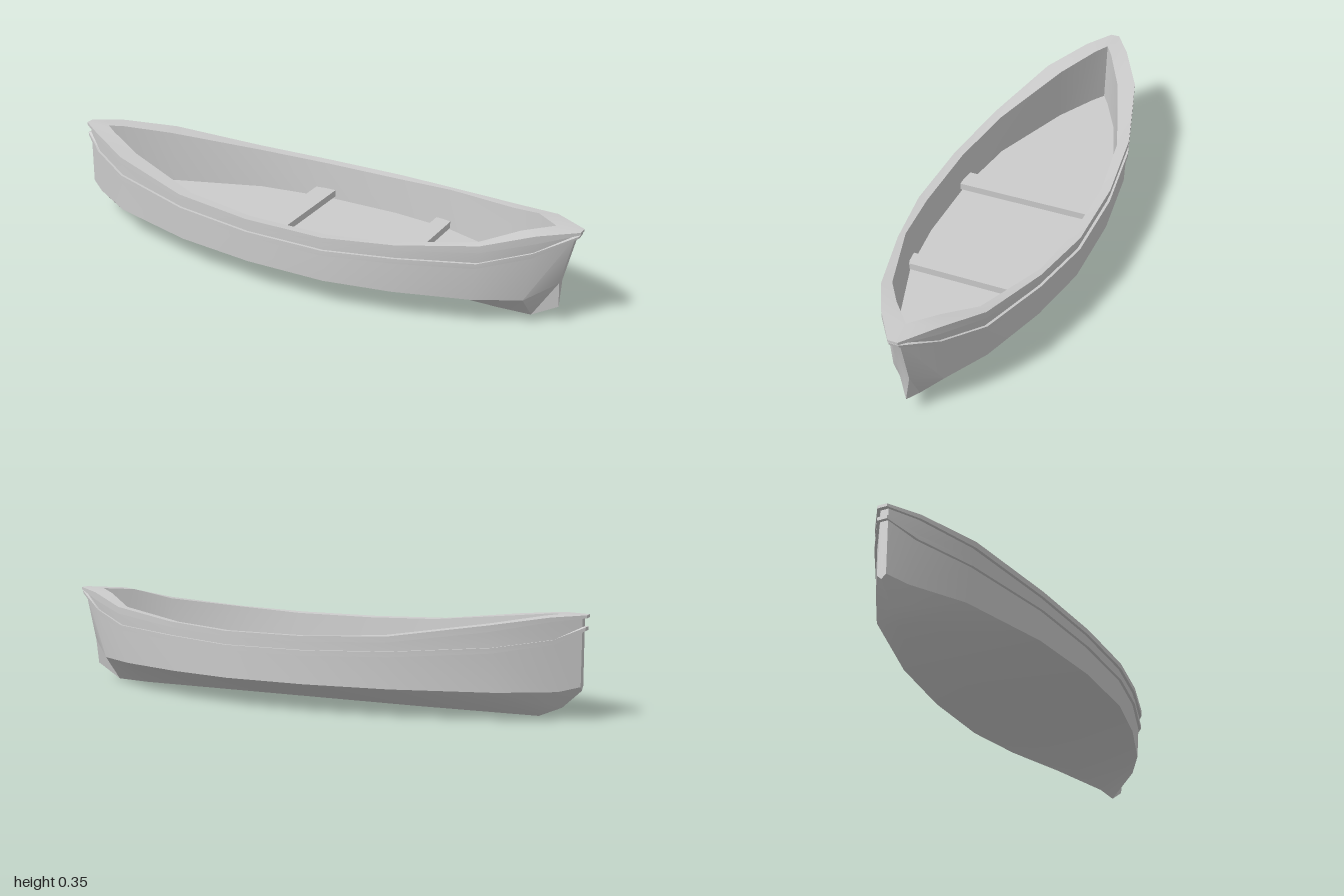
import * as THREE from 'three';
import { toCreasedNormals } from 'three/addons/utils/BufferGeometryUtils.js';

const FLOOR = 0.13;

// Cross-section stations from stern (-x) to bow (+x).
// rail: [x, y, halfWidth], inner: [x, halfWidth] of the opening,
// ys: [rail underside, strake top, strake bottom], chine: [x, y, halfWidth], keel: [x, y]
const stations = [
  { rail: [-1, 0.355, 0.017], inner: [-0.91, 0], ys: [0.345, 0.315, 0.303], chine: [-0.985, 0.115, 0.016], keel: [-0.985, 0.1], end: -1, hullX: -0.985 },
  { rail: [-0.9, 0.35, 0.085], inner: [-0.86, 0.033], ys: [0.335, 0.275, 0.26], chine: [-0.92, 0.1, 0.058], keel: [-0.92, 0.038] },
  { rail: [-0.72, 0.325, 0.182], inner: [-0.7, 0.117], ys: [0.303, 0.25, 0.232], chine: [-0.74, 0.1, 0.162], keel: [-0.84, 0.003] },
  { rail: [-0.4, 0.28, 0.27], inner: [-0.37, 0.235], ys: [0.26, 0.228, 0.21], chine: [-0.4, 0.1, 0.258], keel: [-0.4, 0] },
  { rail: [-0.1, 0.267, 0.305], inner: [-0.1, 0.272], ys: [0.247, 0.218, 0.2], chine: [-0.1, 0.1, 0.295], keel: [-0.1, 0] },
  { rail: [0.2, 0.267, 0.305], inner: [0.2, 0.272], ys: [0.247, 0.218, 0.2], chine: [0.2, 0.1, 0.295], keel: [0.2, 0] },
  { rail: [0.45, 0.281, 0.262], inner: [0.42, 0.247], ys: [0.261, 0.23, 0.212], chine: [0.44, 0.1, 0.25], keel: [0.45, 0] },
  { rail: [0.72, 0.31, 0.185], inner: [0.7, 0.155], ys: [0.285, 0.242, 0.224], chine: [0.69, 0.1, 0.172], keel: [0.72, 0] },
  { rail: [0.88, 0.348, 0.1], inner: [0.82, 0.077], ys: [0.32, 0.283, 0.265], chine: [0.845, 0.1, 0.09], keel: [0.845, 0.004] },
  { rail: [1, 0.355, 0.017], inner: [0.91, 0], ys: [0.346, 0.341, 0.332], chine: [0.94, 0.155, 0.016], keel: [0.94, 0.06], end: 1, hullX: 0.988 },
];

// Half profile from keel, up the outside, over the rail and down to the floor centre
function profile({ rail, inner, ys, chine, keel, end = 0, hullX = rail[0] }) {
  const topZ = end ? 0.014 : rail[2] - 0.01;
  const side = (y, out) => {
    const t = (y - chine[1]) / (rail[1] - chine[1]);
    return [
      THREE.MathUtils.lerp(chine[0], hullX, t) + out * end * 0.012,
      y,
      THREE.MathUtils.lerp(chine[2], topZ, t) + out * (end ? 0.003 : 0.01),
    ];
  };
  const [y1, y2, y3] = ys;
  const floorX = inner[0] * 0.98;
  return [
    [keel[0], keel[1], 0],
    chine,
    side(y3, 0), side(y3, 1), side(y2, 1), side(y2, 0),
    side(y1, 0),
    [rail[0], y1, rail[2]],
    [rail[0], rail[1], rail[2]],
    [inner[0], rail[1] - 0.002, inner[1]],
    [floorX, FLOOR, inner[1] * 0.97],
    [floorX, FLOOR, 0],
  ];
}

// Skin a range of profile rows along all stations, mirrored across z
function skin(sections, from, to) {
  const pos = [];
  const [a, b, c] = [0, 1, 2].map(() => new THREE.Vector3());
  const tri = (p, q, r, s) => {
    a.set(p[0], p[1], p[2] * s);
    b.set(q[0], q[1], q[2] * s);
    c.set(r[0], r[1], r[2] * s);
    const area = b.clone().sub(a).cross(c.clone().sub(a)).length();
    if (area < 1e-8) return;
    for (const v of s > 0 ? [a, b, c] : [a, c, b]) pos.push(v.x, v.y, v.z);
  };
  for (const s of [1, -1]) {
    for (let j = 0; j < sections.length - 1; j++) {
      for (let i = from; i < to; i++) {
        const p = sections[j][i], q = sections[j + 1][i];
        const r = sections[j + 1][i + 1], t = sections[j][i + 1];
        tri(p, q, r, s);
        tri(p, r, t, s);
      }
    }
  }
  const geo = new THREE.BufferGeometry();
  geo.setAttribute('position', new THREE.Float32BufferAttribute(pos, 3));
  return toCreasedNormals(geo, 0.5);
}

// Plank with a straight taper from half-width z0 at x0 to z1 at x1
function plank(x0, z0, x1, z1, top) {
  const shape = new THREE.Shape([
    new THREE.Vector2(x0, -z0), new THREE.Vector2(x1, -z1),
    new THREE.Vector2(x1, z1), new THREE.Vector2(x0, z0),
  ]);
  const geo = new THREE.ExtrudeGeometry(shape, { depth: 0.025, bevelEnabled: false });
  return geo.rotateX(Math.PI / 2).translate(0, top, 0);
}

export function createModel() {
  const group = new THREE.Group();
  group.name = 'rowingBoat';
  const material = new THREE.MeshStandardMaterial({ color: 0xcccccc, side: THREE.DoubleSide });
  const add = (name, geo) => {
    const mesh = new THREE.Mesh(geo, material);
    mesh.name = name;
    group.add(mesh);
  };

  // Flattened copies of the end sections close the stem and stern posts
  const sections = stations.map(profile);
  const flatten = (section) => section.map(([x, y]) => [x, y, 0]);
  sections.unshift(flatten(sections[0]));
  sections.push(flatten(sections[sections.length - 1]));

  // Hull and trim
  add('hull', skin(sections, 0, 2));
  add('rubbingStrake', skin(sections, 2, 5));
  add('upperPlanking', skin(sections, 5, 6));
  add('gunwale', skin(sections, 6, 9));
  add('innerHullAndFloor', skin(sections, 9, 11));

  // Benches
  add('sternBench', plank(-0.14, 0.264, -0.06, 0.27, 0.165));
  add('middleBench', plank(0.37, 0.25, 0.43, 0.24, 0.16));
  add('bowBench', plank(0.72, 0.138, 0.81, 0.078, 0.215));

  return group;
}
